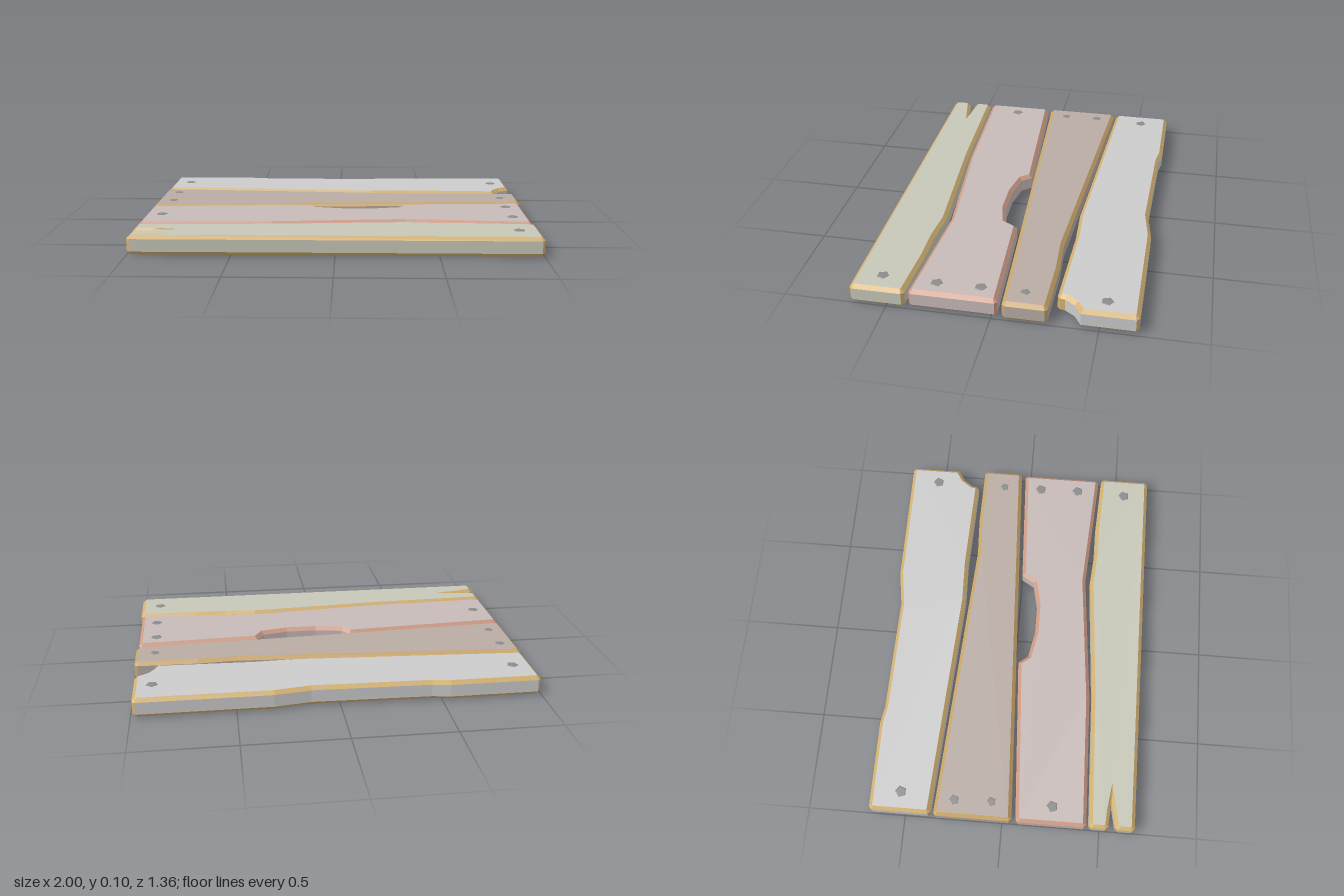
import * as THREE from 'three';

const BEVEL = 0.018, CUT = 0.014, HEIGHT = 0.098;

// Outlines are [x, z] seen from above; nails are [x, z, radius].
const planks = [
  {
    name: 'backPlank', face: 0xcccccc, edge: 0xd2b070,
    outline: [[-0.995, -0.68], [-0.54, -0.68], [-0.45, -0.665], [0.14, -0.652], [0.32, -0.68], [0.99, -0.68],
      [0.99, -0.415], [0.935, -0.38], [0.9, -0.33], [0.895, -0.293], [0.41, -0.308], [0.19, -0.3], [-0.995, -0.367]],
    nails: [[-0.895, -0.525, 0.042], [0.9, -0.525, 0.042]],
  },
  {
    name: 'backMiddlePlank', face: 0xb8aca4, edge: 0xc8a468,
    outline: [[-1, -0.352], [0.48, -0.26], [0.68, -0.27], [1, -0.265], [1, -0.052], [-1, 0.05]],
    nails: [[-0.915, -0.25, 0.037], [-0.91, -0.06, 0.034], [0.9, -0.145, 0.034]],
  },
  {
    name: 'frontMiddlePlank', face: 0xc6bab8, edge: 0xcc9a84,
    outline: [[-1, 0.07], [-0.15, 0.018], [-0.11, 0.068], [0.03, 0.095], [0.19, 0.095], [0.32, 0.067], [0.36, 0],
      [0.99, -0.03], [0.99, 0.395], [0.35, 0.352], [-0.32, 0.41], [-1, 0.43]],
    nails: [[-0.91, 0.25, 0.042], [0.9, 0.065, 0.042], [0.905, 0.275, 0.042]],
  },
  {
    name: 'frontPlank', face: 0xc6c6b8, edge: 0xd2b070,
    outline: [[-1, 0.443], [-0.32, 0.423], [0.35, 0.378], [0.52, 0.393], [0.69, 0.393], [1, 0.41], [1, 0.675],
      [-1, 0.675], [-1, 0.578], [-0.88, 0.555], [-0.79, 0.551], [-0.9, 0.548], [-1, 0.54]],
    nails: [[0.895, 0.54, 0.042]],
  },
];

// Clip the sharp convex corners of an outline.
function clipCorners(points) {
  const result = [];
  points.forEach((p, i) => {
    const n = points.length;
    const a = points[(i + n - 1) % n].clone().sub(p).normalize();
    const b = points[(i + 1) % n].clone().sub(p).normalize();
    if (a.dot(b) > -0.3 && a.cross(b) > 0) {
      result.push(p.clone().addScaledVector(a, CUT), p.clone().addScaledVector(b, CUT));
    } else result.push(p);
  });
  return result;
}

function flatMesh(name, positions, color) {
  const geometry = new THREE.BufferGeometry();
  geometry.setAttribute('position', new THREE.Float32BufferAttribute(positions, 3));
  geometry.computeVertexNormals();
  const mesh = new THREE.Mesh(geometry, new THREE.MeshStandardMaterial({ color, flatShading: true }));
  mesh.name = name;
  return mesh;
}

function makePlank({ name, face, edge, outline, nails }) {
  const group = new THREE.Group();
  group.name = name;

  const points = clipCorners(outline.map(([x, z]) => new THREE.Vector2(x, -z)));
  const solid = new THREE.ExtrudeGeometry(new THREE.Shape(points), {
    depth: HEIGHT - 2 * BEVEL, bevelThickness: BEVEL, bevelSize: BEVEL, bevelOffset: -BEVEL, bevelSegments: 1,
  });
  solid.rotateX(-Math.PI / 2).translate(0, BEVEL, 0);

  // Separate the worn bevels from the faces: each side strip is bevel, wall, bevel.
  const array = solid.attributes.position.array;
  const start = solid.groups[1].start * 3;
  const wood = Array.from(array.slice(0, start));
  const worn = [];
  for (let i = start, strip = 0; i < array.length; i += 18, strip++) {
    const quad = array.slice(i, i + 18);
    let width = 0;
    for (let k = 3; k < 18; k += 3) width = Math.max(width, Math.hypot(quad[k] - quad[0], quad[k + 2] - quad[2]));
    const isWall = strip % 3 === 1 && width > 0.03;
    (isWall ? wood : worn).push(...quad);
  }
  group.add(flatMesh('wood', wood, face), flatMesh('wornEdges', worn, edge));

  // Low five-sided nail heads
  for (const [x, z, r] of nails) {
    const nail = new THREE.Mesh(
      new THREE.CylinderGeometry(r * 0.6, r, 0.006, 5),
      new THREE.MeshStandardMaterial({ color: 0x8c8c8c, flatShading: true }),
    );
    nail.name = 'nailHead';
    nail.rotation.y = Math.PI;
    nail.position.set(x, HEIGHT - 0.001, z);
    group.add(nail);
  }
  return group;
}

export function createModel() {
  const model = new THREE.Group();
  model.name = 'plankPanel';
  planks.forEach((plank) => model.add(makePlank(plank)));
  return model;
}
